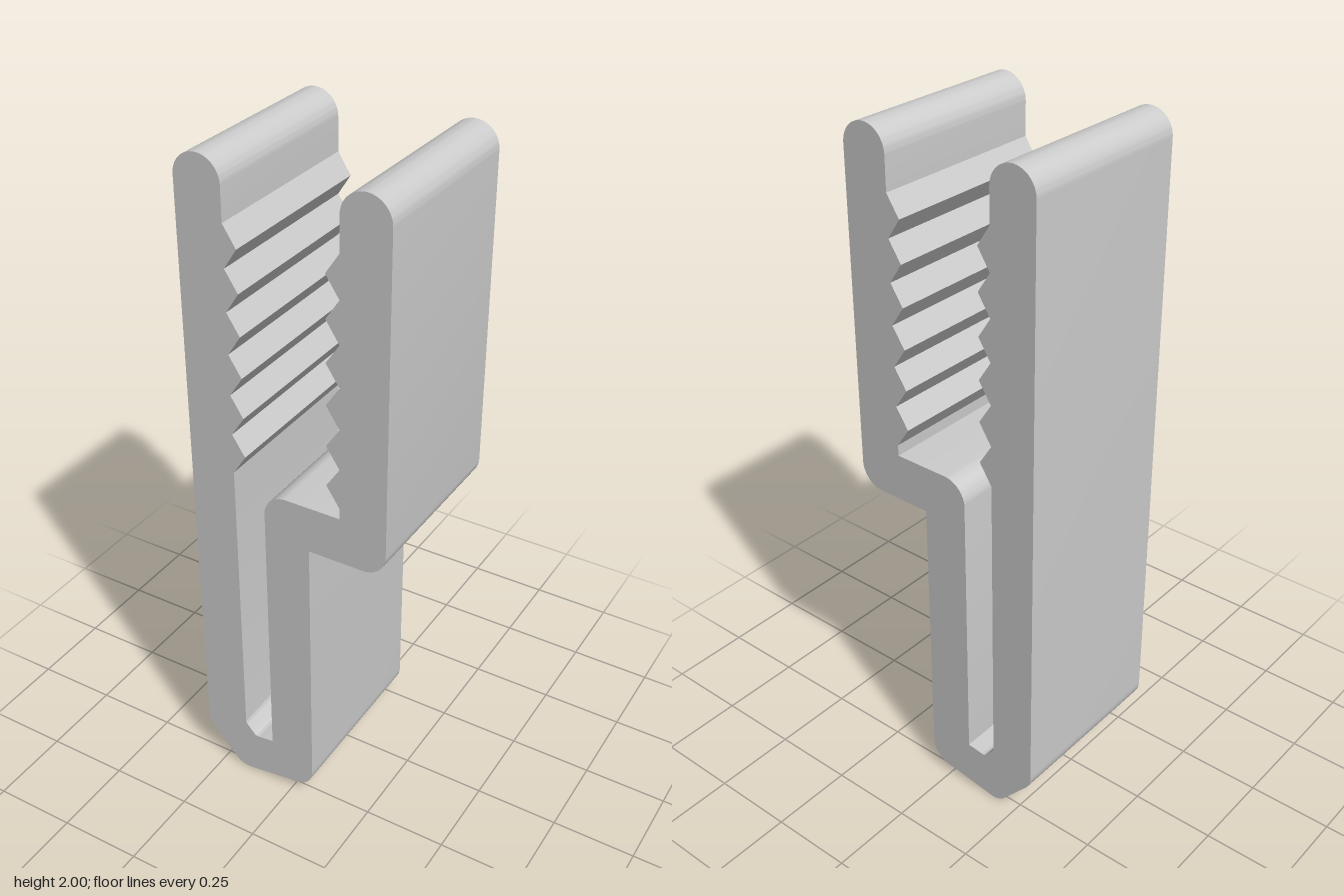
import * as THREE from 'three';
import { toCreasedNormals } from 'three/addons/utils/BufferGeometryUtils.js';

const DEPTH = 0.548;
const R = 0.07;            // rounding radius, half the wall thickness
const TEETH = 6, TEETH_TOP = 1.833, PITCH = 0.1208;

// Row of triangular teeth along an inner wall, running down (dir -1) or up (dir 1)
function addTeeth(shape, wallX, tipX, dir) {
  const start = dir < 0 ? TEETH_TOP : TEETH_TOP - TEETH * PITCH;
  shape.lineTo(wallX, start);
  for (let i = 0; i < TEETH; i++) {
    shape.lineTo(tipX, start + dir * PITCH * (i + 0.5));
    shape.lineTo(wallX, start + dir * PITCH * (i + 1));
  }
}

function clipProfile() {
  const s = new THREE.Shape();
  const PI = Math.PI;
  // outer bottom, from the bevelled corner to the rounded corner
  s.moveTo(-0.306, 0.165);
  s.quadraticCurveTo(-0.306, 0.138, -0.291, 0.119);
  s.lineTo(-0.207, 0.024);
  s.quadraticCurveTo(-0.188, 0.003, -0.16, 0.005);
  s.lineTo(-0.01, 0.027);
  s.absarc(-0.001, 0.097, R, -PI * 0.545, 0, false);
  // outer side of the stem, step and short jaw
  s.lineTo(0.069, 0.933);
  s.lineTo(0.235, 0.933);
  s.absarc(0.235, 1.003, R, -PI / 2, 0, false);
  s.absarc(0.235, 1.93, R, 0, PI, false);
  // toothed inner side of the short jaw
  addTeeth(s, 0.165, 0.125, -1);
  s.lineTo(0.165, 1.075);
  // shoulder and inside of the slot
  s.absarc(-0.002, 1.005, R, PI / 2, PI, false);
  s.lineTo(-0.072, 0.157);
  s.lineTo(-0.12, 0.151);
  s.quadraticCurveTo(-0.132, 0.148, -0.14, 0.158);
  s.lineTo(-0.161, 0.182);
  s.quadraticCurveTo(-0.167, 0.189, -0.167, 0.198);
  // toothed inner side and rounded tip of the long jaw
  addTeeth(s, -0.167, -0.128, 1);
  s.absarc(-0.2365, 1.9305, 0.0695, 0, PI, false);
  s.closePath();
  return s;
}

export function createModel() {
  const group = new THREE.Group();
  group.name = 'toothedClip';
  const geometry = new THREE.ExtrudeGeometry(clipProfile(), {
    depth: DEPTH, bevelEnabled: false, curveSegments: 16,
  });
  geometry.translate(0, -0.004, -DEPTH / 2);
  const body = new THREE.Mesh(
    toCreasedNormals(geometry, Math.PI / 6),
    new THREE.MeshStandardMaterial({ color: 0xcccccc }),
  );
  body.name = 'clipBody';
  group.add(body);
  return group;
}
